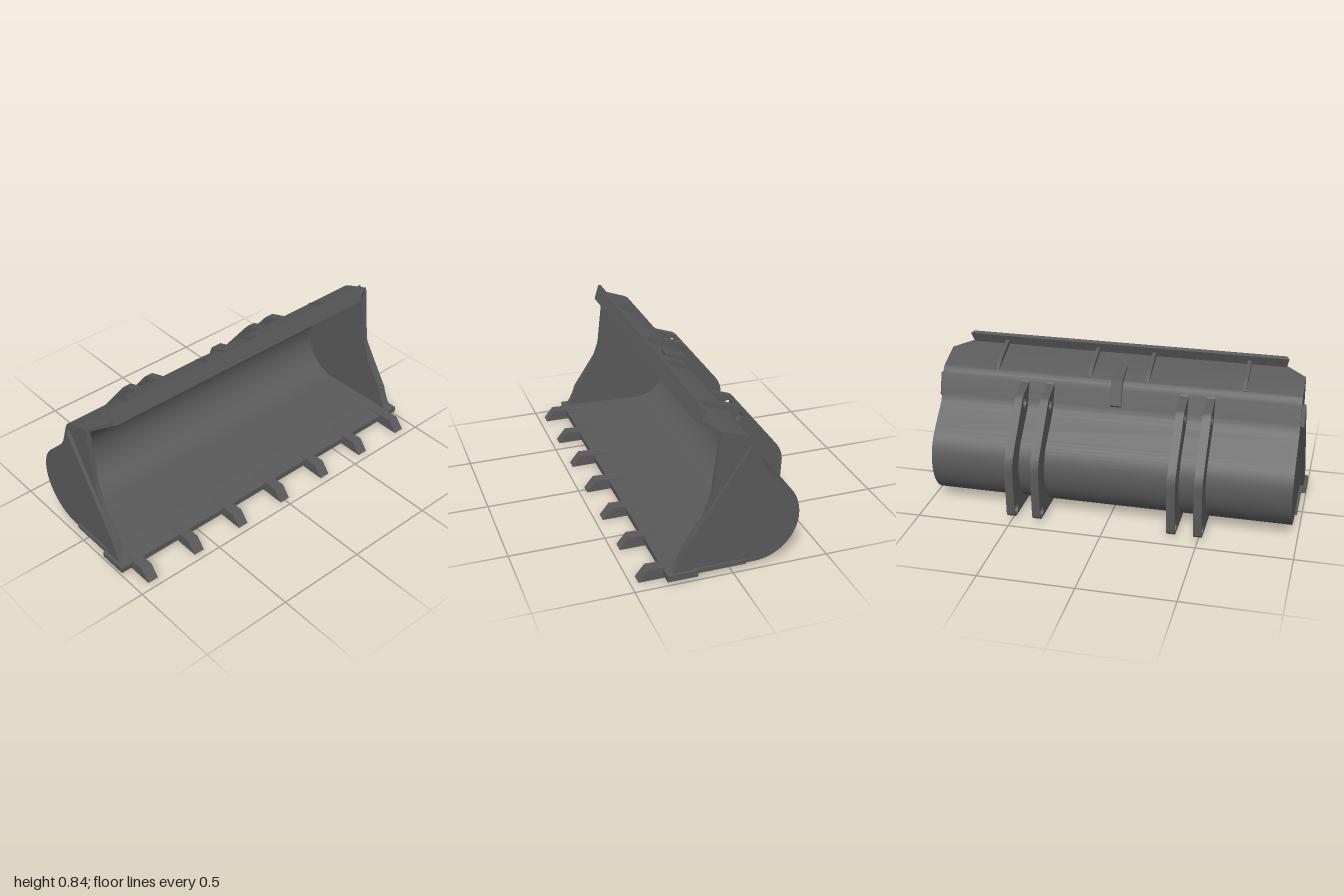
import * as THREE from 'three';
import { toCreasedNormals } from 'three/addons/utils/BufferGeometryUtils.js';

const material = new THREE.MeshStandardMaterial({ color: 0x595959 });

export function createModel() {
  const model = new THREE.Group();

  const add = (name, geometry) => {
    const mesh = new THREE.Mesh(geometry, material);
    mesh.name = name;
    model.add(mesh);
    return mesh;
  };

  // Extrudes a side profile of [z, y] points along x, centred on x
  const slab = (name, points, x, width, holes = []) => {
    const shape = new THREE.Shape(points.map(([z, y]) => new THREE.Vector2(z, y)));
    for (const [z, y, r] of holes) {
      shape.holes.push(new THREE.Path().absarc(z, y, r, 0, Math.PI * 2, true));
    }
    const geometry = new THREE.ExtrudeGeometry(shape, { depth: width, bevelEnabled: false, curveSegments: 16 });
    geometry.translate(0, 0, -width / 2).rotateY(-Math.PI / 2).translate(x, 0, 0);
    return add(name, toCreasedNormals(geometry, 0.4));
  };

  // Moves each vertex of a geometry by a rule
  const reshape = (geometry, rule) => {
    const pos = geometry.attributes.position;
    const v = new THREE.Vector3();
    for (let i = 0; i < pos.count; i++) {
      rule(v.fromBufferAttribute(pos, i));
      pos.setXYZ(i, v.x, v.y, v.z);
    }
    geometry.computeVertexNormals();
  };

  // Shifts a profile inwards along its normals
  const inset = (points, d) => points.map(([z, y], i) => {
    const p = points[Math.max(i - 1, 0)], n = points[Math.min(i + 1, points.length - 1)];
    const dz = n[0] - p[0], dy = n[1] - p[1], l = Math.hypot(dz, dy);
    return [z + (dy / l) * d, y - (dz / l) * d];
  });

  // Rolled back curve, from the floor up to the top plate
  const back = [];
  for (let i = 0; i <= 28; i++) {
    const a = -Math.PI / 2 - (i / 28) * 2.4;
    back.push([-0.125 + 0.23 * Math.cos(a), 0.252 + 0.23 * Math.sin(a)]);
  }
  back.push([-0.185, 0.515], [-0.165, 0.538], [-0.152, 0.56], [-0.143, 0.585],
    [-0.112, 0.675], [-0.105, 0.69], [-0.094, 0.705], [-0.078, 0.715]);

  // Floor, back and top in one sheet; the floor thickens towards the cutting edge
  const outline = [[0.18, 0.022], ...back, [0.06, 0.765]];
  const inner = inset(outline, 0.022);
  inner[0] = [0.18, 0.055];
  slab('shell', [...outline, ...inner.reverse()], 0, 1.92);

  // Front of the sloping top plate, with cut corners
  const plan = [[-0.96, 0.06], [0.96, 0.06], [0.862, 0.125], [-0.862, 0.125]];
  const top = new THREE.ExtrudeGeometry(
    new THREE.Shape(plan.map(([x, z]) => new THREE.Vector2(x, -z))), { depth: 0.023, bevelEnabled: false });
  top.rotateX(-Math.PI / 2);
  reshape(top, (v) => { v.y += 0.762 + (v.z - 0.115) * 0.36; });
  add('topPlate', top);

  // Raised lip with tapered ends, and the ribs behind it
  const lip = slab('topLip', [[0.146, 0.773], [0.117, 0.846], [0.096, 0.838], [0.125, 0.765]], 0, 1.74);
  reshape(lip.geometry, (v) => { v.x = Math.sign(v.x) * (0.872 - (v.z - 0.096) * 0.65); });
  for (const x of [-0.665, -0.155, 0.155, 0.665]) {
    slab('topRib', [[0.12, 0.775], [0.108, 0.81], [-0.02, 0.761], [-0.04, 0.748], [-0.085, 0.716], [-0.07, 0.705]],
      x, 0.02);
  }

  // Bent stop over the middle of the top rear edge
  slab('centreStop', [[0.01, 0.74], [0.01, 0.764], [-0.109, 0.722], [-0.125, 0.675],
    [-0.153, 0.595], [-0.14, 0.58], [-0.1, 0.68], [-0.07, 0.705]], 0, 0.06);

  // Cutting edge
  add('cuttingEdge', new THREE.BoxGeometry(2, 0.033, 0.155).translate(0, 0.0385, 0.2575));

  for (const side of [-1, 1]) {
    // End plate closing the bucket
    slab('sidePlate', [[0.3, 0.022], ...outline, [0.066, 0.748], [0.1, 0.45], [0.108, 0.42], [0.145, 0.32],
      [0.25, 0.165], [0.262, 0.13], [0.28, 0.09], [0.305, 0.055]], side * 0.9525, 0.025);
    // Diagonal reinforcement
    slab('sideBrace', [[-0.08, 0.67], [-0.086, 0.668], [-0.12, 0.56], [0.205, 0.05], [0.305, 0.05], [0.28, 0.09],
      [0.262, 0.13], [0.25, 0.165], [0.145, 0.322]], side * 0.974, 0.022);
    // Wear strip along the foot of the end plate
    slab('wearStrip', [[0.2, 0.023], [0.2, 0.046], [-0.078, 0.046], [-0.078, 0.023]], side * 0.969, 0.014);

    // Pair of hinge brackets with two pin holes
    const bracket = [...inset(back, 0.01), [-0.11, 0.685], [-0.122, 0.672], [-0.222, 0.637], [-0.235, 0.63],
      [-0.25, 0.614], [-0.425, 0.396], [-0.442, 0.37], [-0.454, 0.34], [-0.46, 0.305], [-0.449, 0.062],
      [-0.446, 0.043], [-0.436, 0.03], [-0.416, 0.023], [-0.13, 0.023]];
    for (const x of [0.36, 0.5]) {
      slab('hingeBracket', bracket, side * x, 0.044, [[-0.204, 0.59, 0.027], [-0.411, 0.062, 0.027]]);
    }
  }

  // Row of seven teeth, their tops running out into the cutting edge
  for (let i = -3; i <= 3; i++) {
    slab('tooth', [[0.195, 0.003], [0.46, 0.003], [0.41, 0.064], [0.195, 0.054]], i * 0.3, 0.06);
  }

  return model;
}
